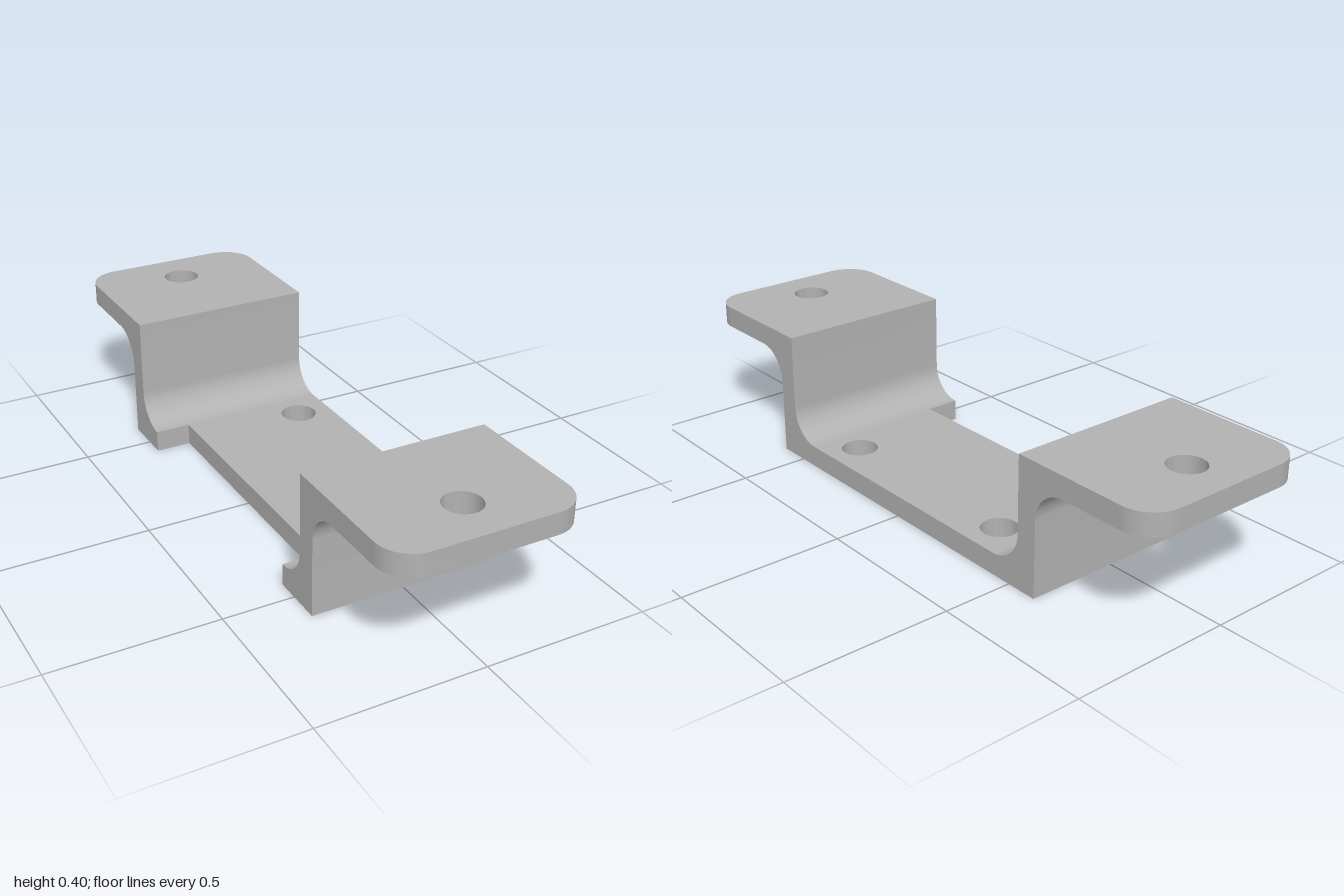
import * as THREE from 'three';
import { toCreasedNormals } from 'three/addons/utils/BufferGeometryUtils.js';

const W = 0.285;        // half width
const T = 0.067;        // sheet thickness
const H = 0.402;        // overall height
const WALL = 0.6;       // outer face of each upright
const R = 0.1;          // fillet and corner radius
const HOLE = 0.056;
const INNER = WALL - T - R; // where the inner fillet meets the base

function extrude(shape, depth) {
  return new THREE.ExtrudeGeometry(shape, { depth, bevelEnabled: false, curveSegments: 20 });
}

function addHole(shape, x, z) {
  const hole = new THREE.Path();
  hole.absarc(x, z, HOLE, 0, Math.PI * 2, true);
  shape.holes.push(hole);
}

// Horizontal plate from an x/z outline, with its upper face at the given height
function plate(shape, top) {
  return extrude(shape, T).rotateX(Math.PI / 2).translate(0, top, 0);
}

export function createModel() {
  const model = new THREE.Group();
  model.name = 'mountingBracket';
  const metal = new THREE.MeshStandardMaterial({ color: 0xb2b2b2 });
  metal.name = 'grey metal';

  function add(parent, geometry, name) {
    const mesh = new THREE.Mesh(toCreasedNormals(geometry, Math.PI / 6), metal);
    mesh.name = name;
    parent.add(mesh);
  }

  // Base plate, narrower on the right side to leave the notch
  const base = new THREE.Shape();
  base.moveTo(-0.175, -INNER);
  base.lineTo(W, -INNER);
  base.lineTo(W, INNER);
  base.lineTo(-0.175, INNER);
  base.closePath();
  for (const z of [-0.337, 0.337]) addHole(base, 0.178, z);
  add(model, plate(base, T), 'basePlate');

  // Upright with its two fillets, as a z/y profile swept across the width
  const profile = new THREE.Shape();
  profile.moveTo(INNER, 0);
  profile.lineTo(WALL, 0);
  profile.lineTo(WALL, H - T - R);
  profile.absarc(WALL + R, H - T - R, R, Math.PI, Math.PI / 2, true);
  profile.lineTo(WALL + R, H);
  profile.lineTo(WALL - T, H);
  profile.lineTo(WALL - T, T + R);
  profile.absarc(INNER, T + R, R, 0, -Math.PI / 2, true);
  profile.closePath();

  // Mounting flange with rounded outer corners and a hole
  const flange = new THREE.Shape();
  flange.moveTo(-W, WALL + R);
  flange.lineTo(W, WALL + R);
  flange.lineTo(W, 1 - R);
  flange.absarc(W - R, 1 - R, R, 0, Math.PI / 2, false);
  flange.lineTo(-W + R, 1);
  flange.absarc(-W + R, 1 - R, R, Math.PI / 2, Math.PI, false);
  flange.closePath();
  addHole(flange, 0, 0.85);

  // The same end piece at the front and, turned around, at the back
  for (const [name, turn] of [['front', 0], ['back', Math.PI]]) {
    const end = new THREE.Group();
    end.name = name + 'End';
    add(end, extrude(profile, 2 * W).translate(0, 0, -W).rotateY(-Math.PI / 2), name + 'Upright');
    add(end, plate(flange, H), name + 'Flange');
    end.rotation.y = turn;
    model.add(end);
  }
  return model;
}
